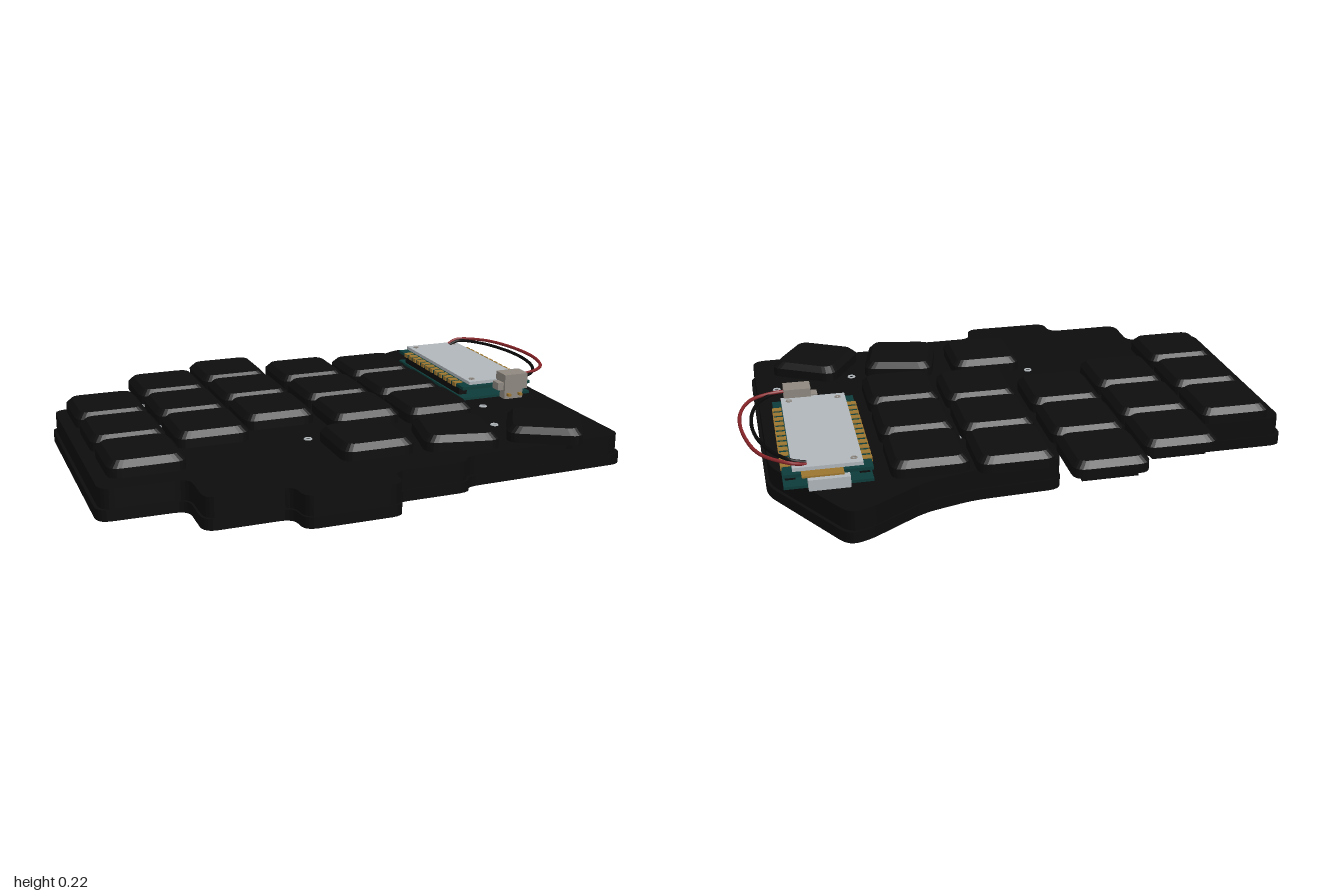
import * as THREE from 'three';

const mat = (name, color) => {
  const m = new THREE.MeshStandardMaterial({ color });
  m.name = name;
  return m;
};
const TILT = 0.09;

// Closed shape with rounded corners; points are (x, z) seen from above
function roundedShape(pts, r) {
  const shape = new THREE.Shape();
  const v = pts.map(([x, z]) => new THREE.Vector2(x, -z));
  v.forEach((p, i) => {
    const prev = v[(i + v.length - 1) % v.length], next = v[(i + 1) % v.length];
    const toward = (q) => {
      const d = q.clone().sub(p);
      return p.clone().add(d.setLength(Math.min(r, d.length() * 0.45)));
    };
    const a = toward(prev), b = toward(next);
    if (i === 0) shape.moveTo(a.x, a.y); else shape.lineTo(a.x, a.y);
    shape.quadraticCurveTo(p.x, p.y, b.x, b.y);
  });
  shape.closePath();
  return shape;
}

// Upright slab from y0 to y1
function slab(shape, y0, y1, steps = 1) {
  const g = new THREE.ExtrudeGeometry(shape, { depth: y1 - y0, bevelEnabled: false, curveSegments: 5, steps });
  return g.rotateX(-Math.PI / 2).translate(0, y0, 0);
}

// Keycap: straight skirt with a tapered upper half
function keycapGeometry() {
  const h = 0.136;
  const g = slab(roundedShape([[-h, -h], [-h, h], [h, h], [h, -h]], 0.045), 0, 0.056, 2);
  const p = g.attributes.position;
  for (let i = 0; i < p.count; i++) {
    const y = p.getY(i), s = y > 0.05 ? 0.85 : 1;
    p.setXYZ(i, p.getX(i) * s, y > 0.02 && y < 0.04 ? 0.034 : y, p.getZ(i) * s);
  }
  g.computeVertexNormals();
  return g;
}

export function createModel() {
  const root = new THREE.Group();
  root.name = 'splitKeyboardHalf';
  const black = mat('caseBlack', 0x0c0c0c);
  const capBlack = mat('keycapBlack', 0x0d0d0d);
  const silver = mat('silver', 0xb0b6ba);
  const gold = mat('gold', 0x9c7530);
  const teal = mat('boardTeal', 0x0c3c3a);
  const red = mat('wireRed', 0x862428);
  const wireBlack = mat('wireBlack', 0x080808);
  const beige = mat('connectorGrey', 0x8e8780);

  const add = (name, geo, material, parent = root, x = 0, y = 0, z = 0) => {
    const m = new THREE.Mesh(geo, material);
    m.name = name;
    m.position.set(x, y, z);
    parent.add(m);
    return m;
  };
  const box = (name, w, h, d, material, parent, x, y, z) =>
    add(name, new THREE.BoxGeometry(w, h, d), material, parent, x, y, z);

  // Case: wide lip below, slightly inset body above
  const outline = [
    [-1.003, -0.32], [-0.92, 0.595], [-0.615, 0.57], [-0.6, 0.76], [-0.295, 0.73], [-0.285, 0.83],
    [0.07, 0.797], [0.065, 0.685], [0.35, 0.657], [0.36, 0.61], [1.003, 0.535], [0.9, -0.47],
    [0.63, -0.85], [0.565, -0.83], [0.37, -0.67], [0.2, -0.605], [-0.12, -0.56], [-0.1, -0.27],
    [-0.385, -0.24], [-0.37, -0.12], [-0.645, -0.1], [-0.665, -0.35],
  ];
  add('caseLip', slab(roundedShape(outline, 0.05), 0, 0.04), black);
  add('caseBody', slab(roundedShape(outline.map(([x, z]) => [x * 0.988, z * 0.988]), 0.05), 0.04, 0.111), black);

  // Keycaps: five columns of three, then three thumb keys
  const cap = keycapGeometry();
  const columns = [[-0.8, -0.2], [-0.532, -0.437], [-0.255, -0.57], [0.057, -0.488], [0.35, -0.483]];
  const keys = [[0.053, 0.405, TILT], [0.385, 0.413, -0.13], [0.73, 0.432, -0.42]];
  for (const [x, z] of columns)
    for (let r = 0; r < 3; r++) keys.push([x + r * 0.028, z + r * 0.278, TILT]);
  for (const [x, z, a] of keys) {
    add('keycap', cap, capBlack, root, x, 0.112, z).rotation.y = a;
    box('keySwitch', 0.2, 0.06, 0.2, black, root, x, 0.115, z).rotation.y = a;
  }

  // Screws: small rings on the top plate
  const ring = new THREE.TorusGeometry(0.012, 0.004, 6, 16).rotateX(Math.PI / 2);
  for (const [x, z] of [[-0.66, -0.285], [-0.632, -0.005], [-0.127, 0.278], [0.225, -0.33], [0.637, 0.078], [0.588, 0.305], [0.882, 0.208]])
    add('screw', ring, silver, root, x, 0.112, z);

  // Controller stack, turned with the case
  const ctrl = new THREE.Group();
  ctrl.name = 'controller';
  ctrl.position.set(0.71, 0, -0.335);
  ctrl.rotation.y = TILT;
  root.add(ctrl);
  box('lowerBoard', 0.3, 0.01, 0.62, teal, ctrl, 0, 0.117, 0);
  box('upperBoard', 0.3, 0.012, 0.62, teal, ctrl, 0, 0.16, 0);
  box('chip', 0.2, 0.012, 0.27, silver, ctrl, 0.04, 0.13, 0.03);
  box('usbSocket', 0.14, 0.04, 0.11, silver, ctrl, 0, 0.133, -0.285);
  box('backPads', 0.14, 0.006, 0.05, gold, ctrl, 0.02, 0.166, -0.315);
  box('batteryPlate', 0.236, 0.013, 0.6, silver, ctrl, 0, 0.177, 0);
  for (const s of [-1, 1]) {
    box('headerStrip', 0.035, 0.035, 0.52, black, ctrl, s * 0.125, 0.138, 0);
    for (let i = 0; i < 12; i++)
      box('pinPad', 0.034, 0.016, 0.026, gold, ctrl, s * 0.137, 0.161, -0.235 + i * 0.0425);
    for (const e of [-1, 1])
      add('plateHole', new THREE.TorusGeometry(0.009, 0.003, 6, 14).rotateX(Math.PI / 2), beige, ctrl, s * 0.09, 0.184, e * 0.265);
  }

  // Battery plug at the front end of the controller
  const plug = new THREE.Group();
  plug.name = 'batteryPlug';
  plug.position.set(0.795, 0, -0.012);
  plug.rotation.y = TILT;
  root.add(plug);
  box('plugBody', 0.1, 0.062, 0.075, beige, plug, 0, 0.185, 0);
  box('plugSideTab', 0.03, 0.03, 0.045, beige, plug, -0.06, 0.168, 0.005);
  box('plugFoot', 0.08, 0.045, 0.04, beige, plug, 0, 0.133, 0);
  for (const x of [-0.025, 0.025]) box('plugPin', 0.012, 0.01, 0.03, gold, plug, x, 0.13, 0.022);

  // Battery wires looping out to the side
  const wire = (name, material, pts) => {
    const curve = new THREE.CatmullRomCurve3(pts.map((p) => new THREE.Vector3(...p)));
    add(name, new THREE.TubeGeometry(curve, 48, 0.0065, 8), material);
  };
  wire('redWire', red, [[0.755, 0.182, -0.615], [0.8, 0.197, -0.635], [0.9, 0.203, -0.57], [0.965, 0.206, -0.42],
    [0.99, 0.206, -0.23], [0.96, 0.204, -0.1], [0.9, 0.202, -0.045], [0.82, 0.2, -0.015]]);
  wire('blackWire', wireBlack, [[0.755, 0.182, -0.6], [0.8, 0.196, -0.61], [0.87, 0.2, -0.54], [0.93, 0.2, -0.4],
    [0.95, 0.2, -0.24], [0.93, 0.198, -0.11], [0.88, 0.196, -0.03], [0.82, 0.194, 0]]);

  return root;
}
